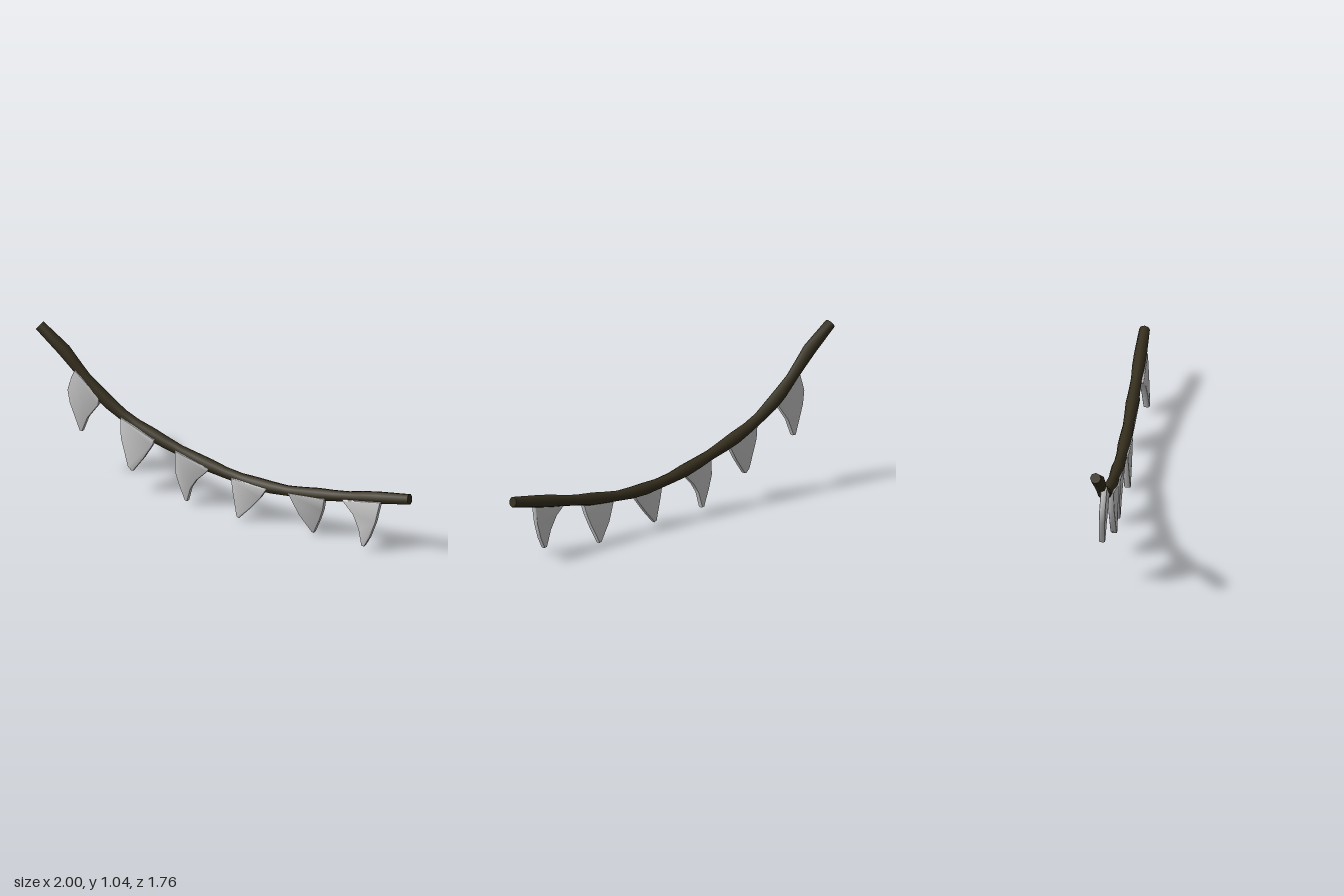
import * as THREE from 'three';
import { toCreasedNormals } from 'three/addons/utils/BufferGeometryUtils.js';

// The garland hangs in one vertical plane, turned about y
const ANGLE = Math.atan2(0.86, 0.985);
const C = Math.cos(ANGLE), S = Math.sin(ANGLE);

// Sagging rope, given as world x, y
const ROPE = [[-0.975, 1.015], [-0.9, 0.95], [-0.8, 0.815], [-0.7, 0.68], [-0.6, 0.575], [-0.5, 0.495],
  [-0.35, 0.415], [-0.2, 0.352], [0, 0.287], [0.15, 0.264], [0.3, 0.262], [0.45, 0.285], [0.6, 0.317],
  [0.8, 0.372], [0.98, 0.42]];

// Pennant outlines in world x, y, counter-clockwise from the top left.
// Each leans from a shared offset under the rope to its own tip offset.
const TOP_OFFSET = 0.024;
const FLAGS = [
  { tipOffset: 0.006, pts: [[-0.79, 0.78], [-0.81, 0.72], [-0.828, 0.62], [-0.815, 0.53], [-0.76, 0.342],
    [-0.745, 0.342], [-0.718, 0.45], [-0.662, 0.565], [-0.66, 0.62]] },
  { tipOffset: 0.038, pts: [[-0.55, 0.52], [-0.55, 0.38], [-0.515, 0.19], [-0.497, 0.165], [-0.485, 0.168],
    [-0.43, 0.27], [-0.38, 0.38], [-0.37, 0.42]] },
  { tipOffset: 0.014, pts: [[-0.262, 0.375], [-0.262, 0.23], [-0.24, 0.14], [-0.207, 0.032], [-0.193, 0.028],
    [-0.175, 0.13], [-0.145, 0.2], [-0.09, 0.28], [-0.08, 0.31]] },
  { tipOffset: 0.034, pts: [[0.033, 0.28], [0.042, 0.18], [0.06, 0.02], [0.073, 0.01], [0.135, 0.1],
    [0.19, 0.19], [0.225, 0.265]] },
  { tipOffset: -0.024, pts: [[0.335, 0.27], [0.4, 0.12], [0.472, 0.008], [0.486, 0.001], [0.512, 0.12],
    [0.525, 0.2], [0.53, 0.295]] },
  { tipOffset: 0.05, pts: [[0.62, 0.32], [0.675, 0.24], [0.702, 0.15], [0.715, 0.042], [0.73, 0.037],
    [0.762, 0.11], [0.795, 0.22], [0.825, 0.37]] },
];

function ropeGeometry() {
  const segments = 26, sides = 8;
  const curve = new THREE.CatmullRomCurve3(ROPE.map(([x, y]) => new THREE.Vector3(x / C, y, 0)));
  const geo = new THREE.TubeGeometry(curve, segments, 1, sides, false);
  const pos = geo.attributes.position, v = new THREE.Vector3();
  for (let i = 0; i <= segments; i++) {
    const centre = curve.getPointAt(i / segments);
    // the outermost rings close the ends; their neighbours slide out to form the narrowed rims
    const cap = i === 0 || i === segments, rim = i === 1 || i === segments - 1;
    const at = rim ? curve.getPointAt(i === 1 ? 0 : 1) : centre;
    const radius = cap ? 0 : rim ? 0.034 : 0.038 + 0.004 * Math.cos((i - 2) * 1.75);
    for (let j = 0; j <= sides; j++) {
      const k = i * (sides + 1) + j;
      v.fromBufferAttribute(pos, k).sub(centre).multiplyScalar(radius).add(at);
      pos.setXYZ(k, v.x, v.y, v.z);
    }
  }
  return toCreasedNormals(geo, 0.9);
}

function flagGeometry({ pts, tipOffset }) {
  const ys = pts.map((p) => p[1]);
  const top = Math.max(...ys), tip = Math.min(...ys);
  const offset = (y) => THREE.MathUtils.lerp(TOP_OFFSET, tipOffset, (top - y) / (top - tip));
  const shape = new THREE.Shape(pts.map(([x, y]) => new THREE.Vector2((x + S * offset(y)) / C, y)));
  const bevel = 0.009, depth = 0.022;
  const geo = new THREE.ExtrudeGeometry(shape, {
    depth, bevelEnabled: true, bevelThickness: bevel, bevelSize: bevel, bevelOffset: -bevel, bevelSegments: 2,
  });
  // centre the thickness and lean the tip
  const pos = geo.attributes.position;
  for (let i = 0; i < pos.count; i++) pos.setZ(i, pos.getZ(i) - depth / 2 + offset(pos.getY(i)));
  return toCreasedNormals(geo, 0.7);
}

export function createModel() {
  const group = new THREE.Group();
  group.name = 'pennantGarland';
  group.rotation.y = -ANGLE;

  const ropeMaterial = new THREE.MeshStandardMaterial({ color: 0x362f1e });
  const clothMaterial = new THREE.MeshStandardMaterial({ color: 0xcccccc });

  const rope = new THREE.Mesh(ropeGeometry(), ropeMaterial);
  rope.name = 'rope';
  group.add(rope);

  FLAGS.forEach((flag, i) => {
    const mesh = new THREE.Mesh(flagGeometry(flag), clothMaterial);
    mesh.name = `pennant${i + 1}`;
    group.add(mesh);
  });

  const model = new THREE.Group();
  model.add(group);
  return model;
}
